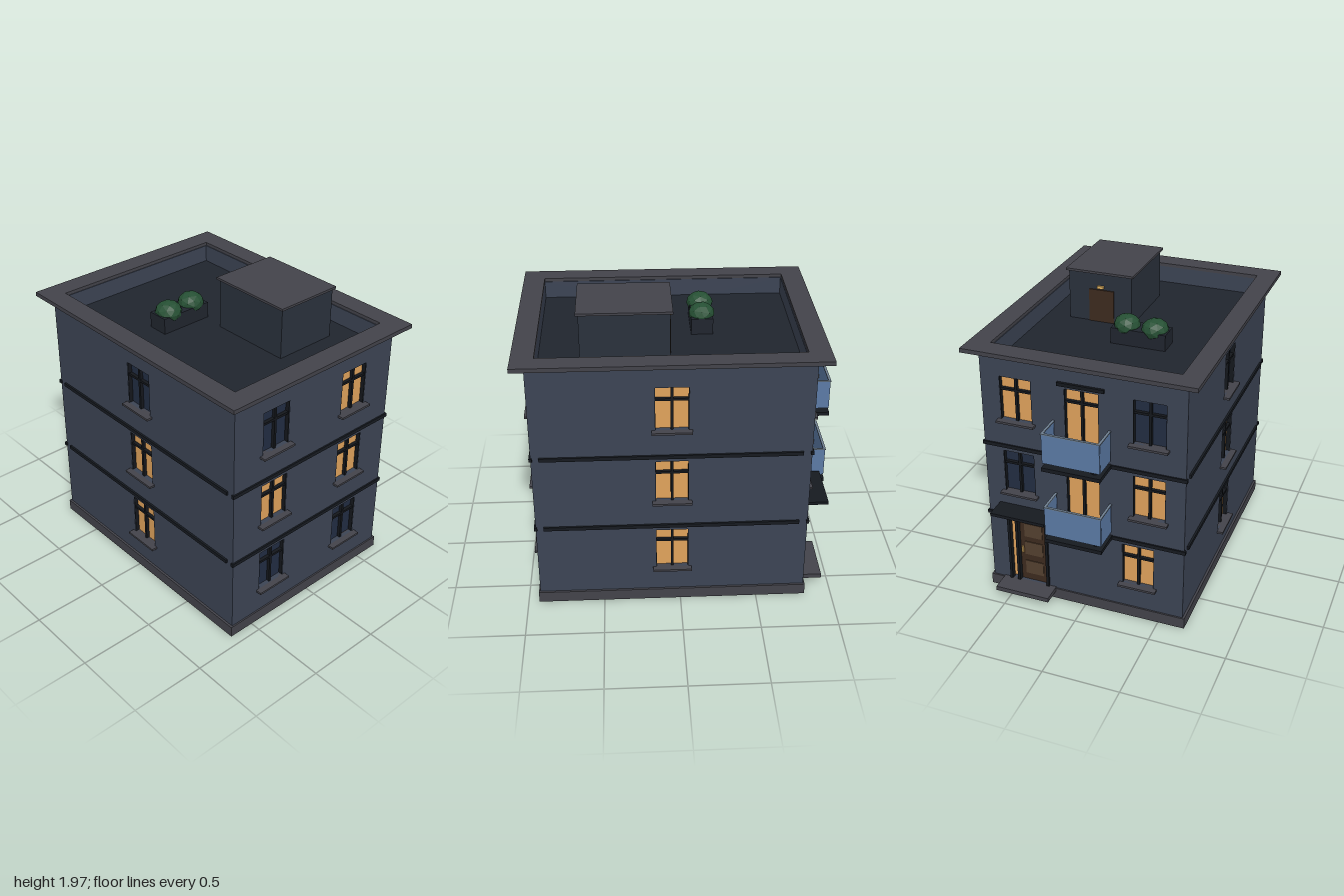
import * as THREE from 'three';

const COLORS = {
  wall: 0x3c4454, trim: 0x43434a, band: 0x161a20, roof: 0x20252e, hut: 0x2a313c,
  frame: 0x14171c, lit: 0xe0a35c, dark: 0x222d42, panel: 0x5b7aa5, rail: 0x6f7f90,
  door: 0x3d2b1e, doorInset: 0x54402f, leaf: 0x265034, blossom: 0xcfd2cf, lamp: 0xe8b865,
};
const mats = {};
for (const key in COLORS) mats[key] = new THREE.MeshStandardMaterial({ color: COLORS[key], flatShading: true });

function add(parent, name, geometry, mat) {
  const mesh = new THREE.Mesh(geometry, mats[mat]);
  mesh.name = name;
  parent.add(mesh);
  return mesh;
}

// Box given by its limits on each axis
function box(parent, name, mat, x0, x1, y0, y1, z0, z1) {
  const mesh = add(parent, name, new THREE.BoxGeometry(x1 - x0, y1 - y0, z1 - z0), mat);
  mesh.position.set((x0 + x1) / 2, (y0 + y1) / 2, (z0 + z1) / 2);
  return mesh;
}

function bush(parent, name, mat, r, x, y, z, squash) {
  const mesh = add(parent, name, new THREE.IcosahedronGeometry(r, 1), mat);
  mesh.position.set(x, y, z);
  mesh.scale.y = squash;
  mesh.rotation.y = x * 9;
}

const WALL_T = 0.06, WALL_Y0 = 0.06, WALL_Y1 = 1.735;
const SILLS = [0.25, 0.765, 1.28];   // window bottoms, floor by floor
const WIN_W = 0.21, WIN_H = 0.29;

// Wall facing local +z with its outer face at z = 0; openings are [x, y, width, height]
function wall(parent, name, width, openings) {
  const s = new THREE.Shape();
  const w = width / 2;
  s.moveTo(-w, WALL_Y0).lineTo(w, WALL_Y0).lineTo(w, WALL_Y1).lineTo(-w, WALL_Y1).closePath();
  for (const [x, y, ow, oh] of openings) {
    const h = new THREE.Path();
    h.moveTo(x - ow / 2, y).lineTo(x - ow / 2, y + oh).lineTo(x + ow / 2, y + oh).lineTo(x + ow / 2, y).closePath();
    s.holes.push(h);
  }
  const geo = new THREE.ExtrudeGeometry(s, { depth: WALL_T, bevelEnabled: false });
  geo.translate(0, 0, -WALL_T);
  add(parent, name, geo, 'wall');
}

// Glass with a cross of bars, set back in its opening
function glazing(parent, x, y, w, h, lit) {
  const g = new THREE.Group();
  g.name = 'window';
  g.position.set(x, y, 0);
  parent.add(g);
  box(g, 'glass', lit ? 'lit' : 'dark', -w / 2, w / 2, 0, h, -0.055, -0.03);
  box(g, 'mullion', 'frame', -0.008, 0.008, 0, h, -0.032, -0.008);
  box(g, 'transom', 'frame', -w / 2, w / 2, h - 0.093, h - 0.078, -0.032, -0.008);
  for (const s of [-1, 1]) {
    const e = s * w / 2;
    box(g, 'jamb', 'frame', Math.min(e, e - s * 0.004), Math.max(e, e - s * 0.004), 0, h, -0.055, -0.002);
  }
  return g;
}

function sill(g) {
  box(g, 'sill', 'trim', -0.125, 0.125, -0.014, 0, -0.05, 0.04);
}

// One side of the building: windows are [x, floor, lit], extras are bare openings
function facade(root, name, width, pos, turn, windows, extras = []) {
  const g = new THREE.Group();
  g.name = name;
  g.position.set(...pos);
  g.rotation.y = turn;
  root.add(g);
  const holes = windows.map(([x, f]) => [x, SILLS[f], WIN_W, WIN_H]);
  wall(g, 'wall', width, holes.concat(extras));
  for (const [x, f, lit] of windows) sill(glazing(g, x, SILLS[f], WIN_W, WIN_H, lit));
  return g;
}

// Balcony slab, glass parapet, glazed door and potted plant; y is the slab top
function balcony(parent, y) {
  const g = new THREE.Group();
  g.name = 'balcony';
  g.position.y = y;
  parent.add(g);
  box(g, 'slab', 'band', -0.19, 0.19, -0.025, 0, -0.02, 0.185);
  box(g, 'underLight', 'lamp', -0.04, 0.04, -0.031, -0.025, 0.118, 0.13);
  box(g, 'frontPanel', 'panel', -0.185, 0.185, 0.03, 0.225, 0.17, 0.18);
  box(g, 'frontRail', 'rail', -0.19, 0.19, 0.225, 0.232, 0.167, 0.183);
  for (const s of [-1, 1]) {
    const x = s * 0.182;
    box(g, 'sidePanel', 'panel', x - 0.005, x + 0.005, 0.03, 0.225, 0.01, 0.172);
    box(g, 'sideRail', 'rail', x - 0.008, x + 0.008, 0.225, 0.232, 0.005, 0.17);
  }
  glazing(g, 0, 0, 0.22, 0.455, true);
  box(g, 'lintel', 'frame', -0.15, 0.15, 0.475, 0.498, -0.01, 0.017);
  const pot = add(g, 'pot', new THREE.CylinderGeometry(0.038, 0.028, 0.07, 8), 'band');
  pot.position.set(0.13, 0.035, 0.12);
  bush(g, 'pottedPlant', 'blossom', 0.047, 0.13, 0.1, 0.12, 1);
}

// Entrance on the back wall, centred on local x = 0
function entrance(parent, x) {
  const g = new THREE.Group();
  g.name = 'entrance';
  g.position.x = x;
  parent.add(g);
  box(g, 'step', 'trim', -0.185, 0.185, 0.052, 0.082, 0, 0.135);
  box(g, 'doorBack', 'frame', -0.13, 0.13, 0.08, 0.58, -0.058, -0.04);
  for (const fx of [-0.14, -0.085, 0.122]) box(g, 'doorFrame', 'frame', fx, fx + 0.018, 0.08, 0.575, -0.05, 0.015);
  box(g, 'doorHead', 'frame', -0.14, 0.14, 0.56, 0.583, -0.05, 0.015);
  box(g, 'sidelight', 'lit', -0.122, -0.085, 0.09, 0.56, -0.045, -0.02);
  box(g, 'doorLeaf', 'door', -0.067, 0.122, 0.08, 0.56, -0.045, -0.02);
  for (const y of [0.13, 0.28, 0.42]) box(g, 'doorPanel', 'doorInset', -0.035, 0.09, y, y + 0.1, -0.022, -0.015);
  box(g, 'handle', 'lamp', -0.055, -0.045, 0.29, 0.34, -0.02, -0.008);
  box(g, 'canopy', 'band', -0.185, 0.185, 0.645, 0.665, -0.01, 0.145);
  box(g, 'wallLampBody', 'frame', 0.175, 0.2, 0.47, 0.53, -0.01, 0.022);
  box(g, 'wallLampGlow', 'lamp', 0.178, 0.197, 0.482, 0.512, 0, 0.025);
}

export function createModel() {
  const root = new THREE.Group();
  root.name = 'apartmentBuilding';

  box(root, 'plinth', 'trim', -0.675, 0.675, 0, 0.075, -0.825, 0.93);

  // Four sides
  facade(root, 'frontSide', 1.32, [0, 0, 0.92], 0,
    [[-0.33, 0, false], [0.33, 0, false], [-0.33, 1, true], [0.33, 1, true], [-0.33, 2, false], [0.33, 2, true]]);
  const sideW = 1.735 - 2 * WALL_T;
  facade(root, 'rightSide', sideW, [0.66, 0, 0.0525], Math.PI / 2, [[0, 0, true], [0, 1, true], [0, 2, true]]);
  facade(root, 'leftSide', sideW, [-0.66, 0, 0.0525], -Math.PI / 2, [[0, 0, true], [0, 1, true], [0, 2, false]]);
  const back = facade(root, 'backSide', 1.32, [0, 0, -0.815], Math.PI,
    [[0.36, 0, true], [-0.43, 1, false], [0.43, 1, true], [-0.43, 2, true], [0.43, 2, false]],
    [[0, 0.592, 0.22, 0.455], [0, 1.107, 0.22, 0.455], [-0.395, 0.08, 0.26, 0.49]]);
  balcony(back, 0.592);
  balcony(back, 1.107);
  entrance(back, -0.395);

  // Floor bands
  for (const y of [0.565, 1.08]) {
    for (const z of [0.92, -0.815]) box(root, 'floorBand', 'band', -0.67, 0.67, y, y + 0.024, z - 0.01, z + 0.01);
    for (const x of [0.66, -0.66]) box(root, 'floorBand', 'band', x - 0.013, x + 0.013, y, y + 0.024, -0.76, 0.87);
  }

  // Sunken roof and overhanging coping
  box(root, 'roofDeck', 'roof', -0.605, 0.605, 1.59, 1.62, -0.76, 0.865);
  box(root, 'coping', 'trim', -0.74, 0.74, 1.73, 1.757, 0.86, 1.0);
  box(root, 'coping', 'trim', -0.74, 0.74, 1.73, 1.757, -0.9, -0.76);
  for (const x of [-0.74, 0.605]) box(root, 'coping', 'trim', x, x + 0.135, 1.73, 1.757, -0.76, 0.86);

  // Stair hut
  const hut = new THREE.Group();
  hut.name = 'stairHut';
  root.add(hut);
  box(hut, 'hutWalls', 'hut', 0.01, 0.44, 1.62, 1.95, 0.05, 0.6);
  box(hut, 'hutCap', 'trim', -0.005, 0.455, 1.95, 1.965, 0.035, 0.615);
  box(hut, 'hutDoor', 'door', 0.13, 0.3, 1.62, 1.84, 0.042, 0.055);
  box(hut, 'hutLamp', 'lamp', 0.2, 0.24, 1.85, 1.868, 0.035, 0.055);

  // Roof planter
  box(root, 'planter', 'roof', -0.32, 0.04, 1.62, 1.725, -0.24, -0.1);
  bush(root, 'bush', 'leaf', 0.087, -0.23, 1.728, -0.17, 0.8);
  bush(root, 'bush', 'leaf', 0.085, -0.045, 1.733, -0.17, 0.8);

  return root;
}
